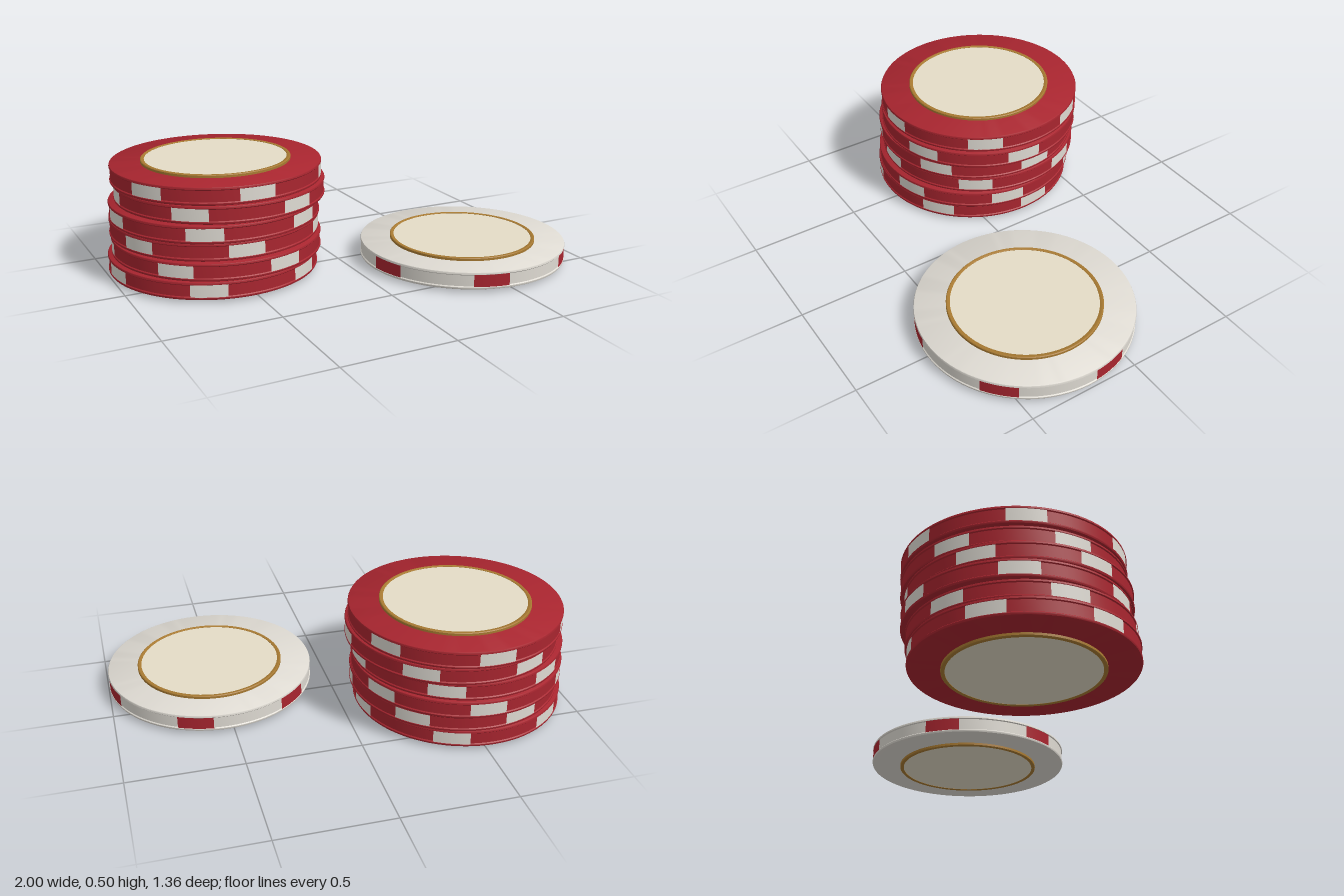
import * as THREE from 'three';
import { toCreasedNormals } from 'three/addons/utils/BufferGeometryUtils.js';

const RADIUS = 0.467;
const PITCH = 0.079; // body thickness, so stacked bodies touch
const SEGMENTS = 96;
const deg = THREE.MathUtils.degToRad;

const material = (color) => new THREE.MeshStandardMaterial({ color });
const red = material(0xa8252f);
const white = material(0xdedad2);
const cream = material(0xe4dcc6);
const gold = material(0xa87a32);

// Revolved profile with crisp edges; angles run from +z towards +x
function lathe(points, segments = SEGMENTS, start = 0, length = Math.PI * 2) {
  const profile = points.map(([r, y]) => new THREE.Vector2(r, y));
  return toCreasedNormals(new THREE.LatheGeometry(profile, segments, start, length), deg(35));
}

// Disc with a small raised rim along both edges of a recessed band
const bodyGeometry = lathe([
  [0, 0.013], [0.461, 0.013], [0.465, 0.015], [RADIUS, 0.019], [RADIUS, 0.024],
  [0.463, 0.028], [0.463, 0.077],
  [RADIUS, 0.081], [RADIUS, 0.086], [0.465, 0.09], [0.461, 0.092], [0, 0.092],
]);

// Raised ring passing through the chip, showing on both faces
const ringGeometry = lathe([
  [0.314, 0.05], [0.314, 0.002], [0.317, 0], [0.328, 0], [0.331, 0.003],
  [0.331, 0.102], [0.328, 0.105], [0.317, 0.105], [0.314, 0.103], [0.314, 0.05],
]);

// Centre disc, slightly lower than the ring
const inlayGeometry = lathe([[0, 0.003], [0.316, 0.003], [0.316, 0.102], [0, 0.102]]);

// One coloured block set in the edge band
const width = deg(19.4);
const spotGeometry = lathe(
  [[0.455, 0.023], [0.4655, 0.023], [0.4655, 0.082], [0.455, 0.082]], 8, -width / 2, width);

function add(parent, name, geometry, mat) {
  const mesh = new THREE.Mesh(geometry, mat);
  mesh.name = name;
  parent.add(mesh);
  return mesh;
}

function createChip(name, bodyMaterial, spotMaterial, angle) {
  const chip = new THREE.Group();
  chip.name = name;
  add(chip, 'body', bodyGeometry, bodyMaterial);
  add(chip, 'ring', ringGeometry, gold);
  add(chip, 'inlay', inlayGeometry, cream);
  for (let i = 0; i < 6; i++) {
    add(chip, 'edgeSpot', spotGeometry, spotMaterial).rotation.y = deg(60 * i);
  }
  chip.rotation.y = deg(angle);
  return chip;
}

export function createModel() {
  const model = new THREE.Group();
  model.name = 'chips';

  // Uneven stack, bottom to top: x, z, turn in degrees
  const stack = new THREE.Group();
  stack.name = 'chipStack';
  [
    [-0.533, -0.193, 37.4],
    [-0.515, -0.192, 18],
    [-0.515, -0.215, -3.4],
    [-0.516, -0.203, 34.7],
    [-0.488, -0.206, 24.3],
    [-0.499, -0.215, 1.3],
  ].forEach(([x, z, angle], i) => {
    const chip = createChip('redChip', red, white, angle);
    chip.position.set(x, i * PITCH, z);
    stack.add(chip);
  });
  model.add(stack);

  // Single chip lying beside the stack
  const single = createChip('whiteChip', white, red, 43);
  single.position.set(0.53, 0, 0.216);
  model.add(single);

  return model;
}
